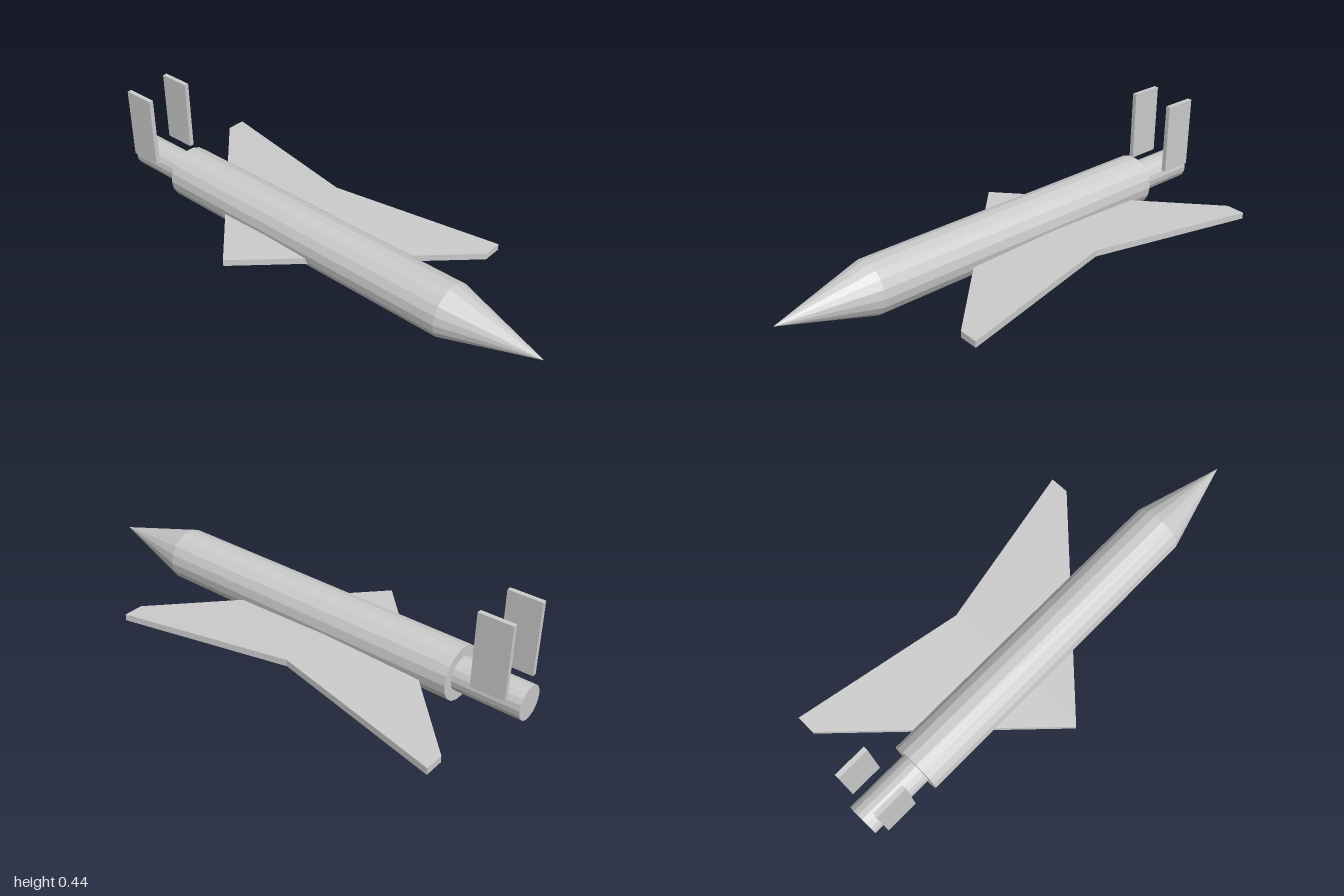
import * as THREE from 'three';

const SIDES = 18;
const AXIS = { x: -0.075, y: 0.106 };

export function createModel() {
  const group = new THREE.Group();
  const material = new THREE.MeshStandardMaterial({ color: 0xcccccc, flatShading: true });

  const add = (name, geometry) => {
    const mesh = new THREE.Mesh(geometry, material);
    mesh.name = name;
    group.add(mesh);
    return mesh;
  };

  // Round section along z, from zBack to zFront
  const tube = (name, rFront, rBack, zBack, zFront) => {
    const g = new THREE.CylinderGeometry(rFront, rBack, zFront - zBack, SIDES, 1, false, Math.PI / 2);
    g.rotateX(Math.PI / 2);
    add(name, g).position.set(AXIS.x, AXIS.y, (zFront + zBack) / 2);
  };
  tube('fuselage', 0.1075, 0.1075, -0.73, 0.617);
  tube('noseCone', 0, 0.1075, 0.617, 1);
  tube('tailPipe', 0.067, 0.067, -1, -0.73);

  // Wing plate: two mirrored halves that droop away from a crease at z = -0.2
  const creaseZ = -0.2, topY = 0.094, thickness = 0.027, droop = 0.031;
  const outline = [[-0.398, 0], [0.25, 0], [0.395, 0.705], [0.315, 0.705]];
  for (const side of [1, -1]) {
    const shape = new THREE.Shape(outline.map(([x, s]) => new THREE.Vector2(x, -side * s)));
    const g = new THREE.ExtrudeGeometry(shape, { depth: thickness, bevelEnabled: false });
    g.rotateX(-Math.PI / 2);
    const p = g.attributes.position;
    for (let i = 0; i < p.count; i++) p.setY(i, p.getY(i) - droop * Math.abs(p.getZ(i)));
    g.computeVertexNormals();
    add(side > 0 ? 'frontWing' : 'rearWing', g).position.set(0, topY - thickness, creaseZ);
  }

  // Upright tail fins either side of the tail pipe
  for (const side of [1, -1]) {
    const fin = add(side > 0 ? 'leftFin' : 'rightFin', new THREE.BoxGeometry(0.019, 0.295, 0.135));
    fin.position.set(AXIS.x + side * 0.095, 0.2975, -0.892);
  }

  return group;
}
